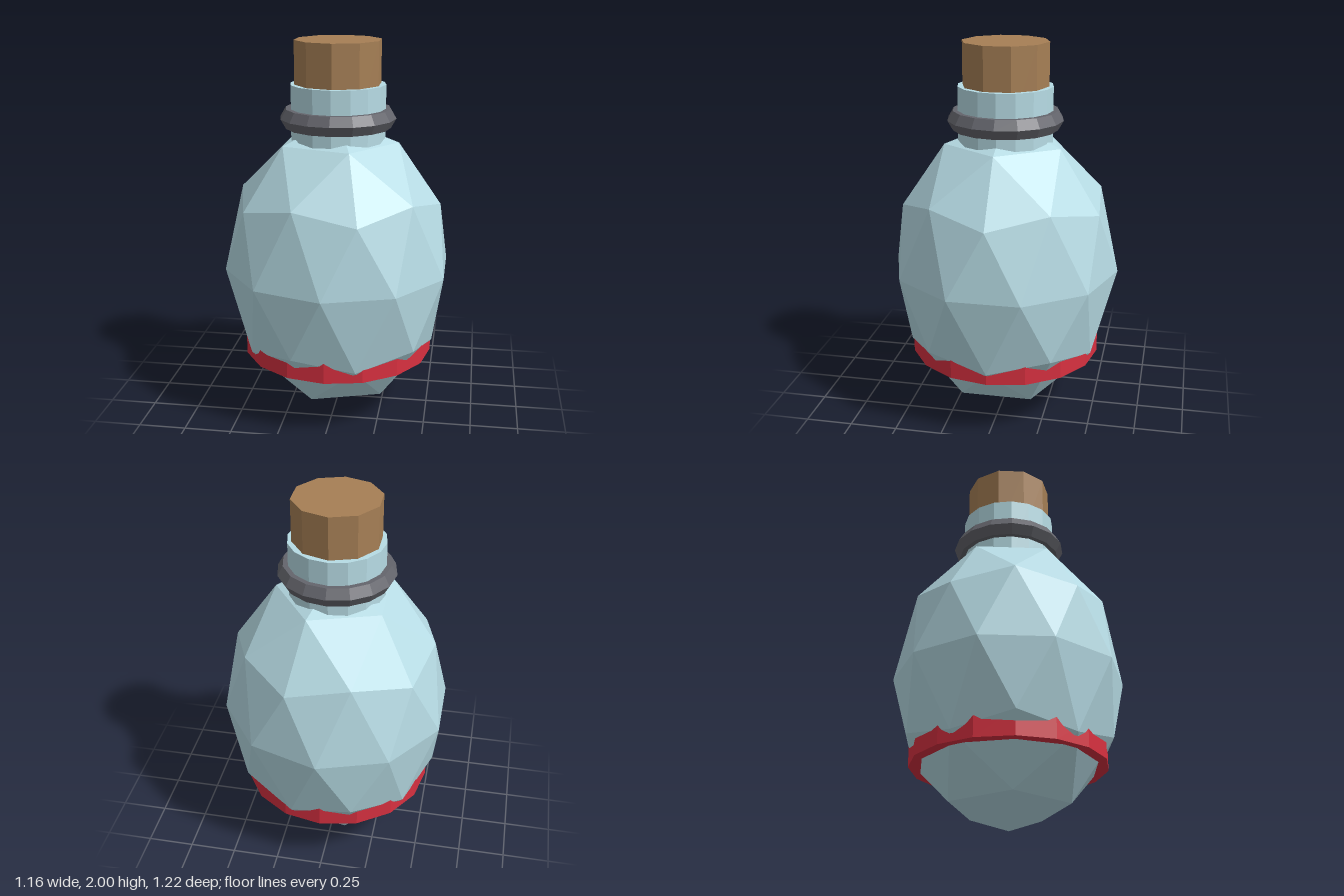
import * as THREE from 'three';

function addPart(group, name, geometry, color, y) {
  const material = new THREE.MeshStandardMaterial({ color: 0xcccccc, flatShading: true });
  material.color.set(color);
  const mesh = new THREE.Mesh(geometry, material);
  mesh.name = name;
  mesh.position.y = y;
  group.add(mesh);
  return mesh;
}

// Upright prism spanning two heights
function prism(group, name, radius, bottom, top, sides, color) {
  const geometry = new THREE.CylinderGeometry(radius, radius, top - bottom, sides);
  return addPart(group, name, geometry, color, (bottom + top) / 2);
}

export function createModel() {
  const bottle = new THREE.Group();
  bottle.name = 'bottle';
  const glass = 0xb7dce5;

  // Faceted egg-shaped body: a subdivided icosahedron standing on one corner
  const bodyGeometry = new THREE.IcosahedronGeometry(1, 1);
  bodyGeometry.rotateZ(-Math.atan(2 / (1 + Math.sqrt(5))));
  bodyGeometry.scale(0.61, 0.797, 0.61);
  bodyGeometry.computeVertexNormals();
  addPart(bottle, 'body', bodyGeometry, glass, 0.797);

  // Neck and stopper
  prism(bottle, 'neck', 0.25, 1.4, 1.775, 16, glass);
  prism(bottle, 'cork', 0.228, 1.6, 2, 10, 0xa67f55);

  // Dark ring around the neck
  const ringGeometry = new THREE.TorusGeometry(0.247, 0.058, 6, 16);
  ringGeometry.rotateX(Math.PI / 2);
  addPart(bottle, 'neckRing', ringGeometry, 0x64656c, 1.6);

  // Red band, its upper edge sunk into the body facets
  prism(bottle, 'band', 0.512, 0.32, 0.45, 16, 0xd83040);

  return bottle;
}
